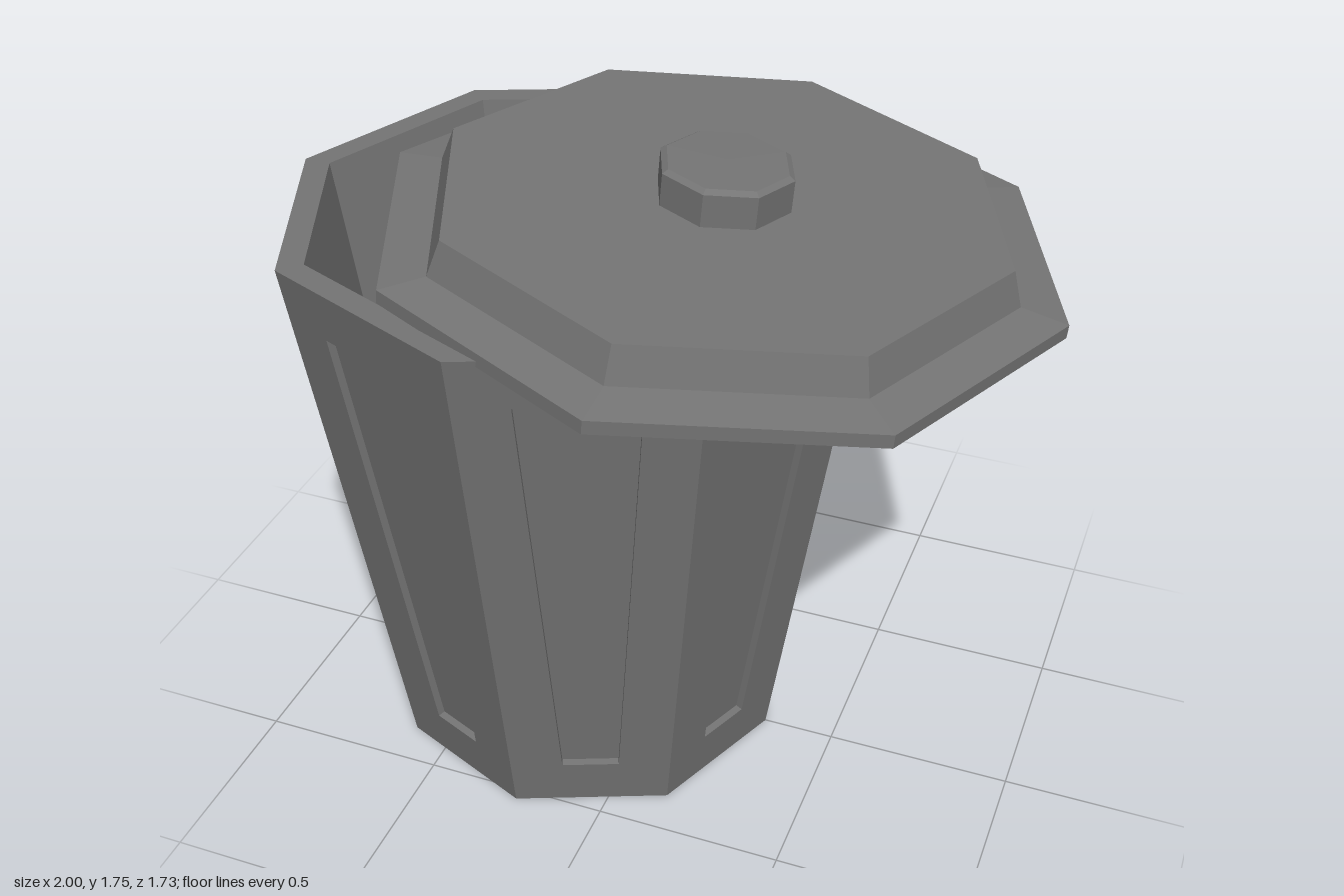
import * as THREE from 'three';

const SIDES = 8, HEIGHT = 1.54, R_BOTTOM = 0.537, R_TOP = 0.768;

// Eight-sided solid of revolution; profile runs from the underside outward and up
function octagon(name, profile, material) {
  const geo = new THREE.LatheGeometry(profile.map(([r, y]) => new THREE.Vector2(r, y)), SIDES);
  const mesh = new THREE.Mesh(geo, material);
  mesh.name = name;
  return mesh;
}

// Tapered outer wall with a sunken trapezoid panel in each face
function wallGeometry() {
  const pos = [];
  const quad = (a, b, c, d) => [a, b, c, a, c, d].forEach(p => pos.push(p.x, p.y, p.z));
  const corner = (k, y) => {
    const r = THREE.MathUtils.lerp(R_BOTTOM, R_TOP, y / HEIGHT);
    const a = k * Math.PI * 2 / SIDES;
    return new THREE.Vector3(r * Math.cos(a), y, r * Math.sin(a));
  };
  const margin = 0.138, depth = 0.02;
  for (let k = 0; k < SIDES; k++) {
    const outer = [corner(k + 1, 0), corner(k, 0), corner(k, HEIGHT), corner(k + 1, HEIGHT)];
    const edge = (y, from, to) => {
      const a = corner(from, y), b = corner(to, y);
      return a.lerp(b, margin / a.distanceTo(b));
    };
    const rim = [edge(0.14, k + 1, k), edge(0.14, k, k + 1), edge(1.4, k, k + 1), edge(1.4, k + 1, k)];
    const normal = outer[1].clone().sub(outer[0]).cross(outer[3].clone().sub(outer[0])).normalize();
    const sunk = rim.map(p => p.clone().addScaledVector(normal, -depth));
    for (let i = 0; i < 4; i++) {
      const j = (i + 1) % 4;
      quad(outer[i], outer[j], rim[j], rim[i]);
      quad(rim[i], rim[j], sunk[j], sunk[i]);
    }
    quad(...sunk);
  }
  const geo = new THREE.BufferGeometry();
  geo.setAttribute('position', new THREE.Float32BufferAttribute(pos, 3));
  geo.computeVertexNormals();
  return geo;
}

export function createModel() {
  const grey = new THREE.MeshStandardMaterial({ color: 0x747474, flatShading: true });
  grey.name = 'binGrey';
  const model = new THREE.Group();
  model.name = 'trashCan';

  // Can body
  const can = new THREE.Group();
  can.name = 'can';
  can.position.x = -0.232;
  const wall = new THREE.Mesh(wallGeometry(), grey);
  wall.name = 'panelledWall';
  can.add(
    wall,
    octagon('base', [[0, 0], [R_BOTTOM, 0]], grey),
    octagon('rimAndInside', [[R_TOP, HEIGHT], [0.698, HEIGHT], [0.475, 0.06], [0, 0.06]], grey),
  );

  // Lid, pushed aside and resting at a tilt
  const lid = new THREE.Group();
  lid.name = 'lid';
  lid.position.set(0.137, 1.5, 0);
  lid.rotation.z = -0.084;
  lid.add(
    octagon('lidShell', [[0, 0.11], [0.665, 0.11], [0.7, 0.014], [0.863, 0], [0.863, 0.035],
      [0.745, 0.05], [0.715, 0.14], [0, 0.145]], grey),
    octagon('lidKnob', [[0, 0.13], [0.17, 0.13], [0.17, 0.228], [0.155, 0.238], [0, 0.24]], grey),
  );

  model.add(can, lid);
  return model;
}
